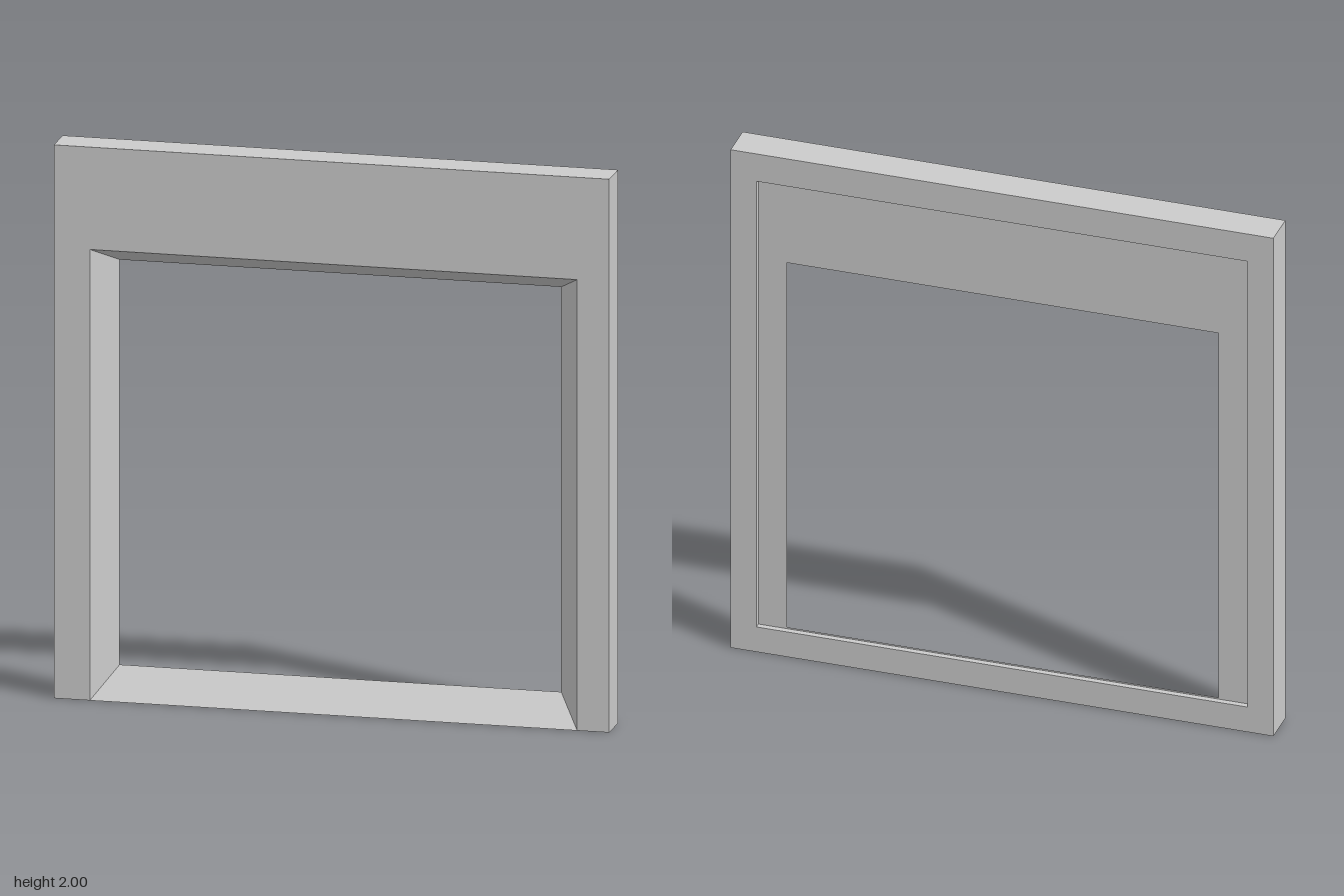
import * as THREE from 'three';

// rectangle corners, anticlockwise seen from the front
const ring = (x0, x1, y0, y1, z) => [[x0, y0, z], [x1, y0, z], [x1, y1, z], [x0, y1, z]];

// four flat faces joining two rectangles
function band(a, b) {
  const pos = [];
  for (let i = 0; i < 4; i++) {
    const j = (i + 1) % 4;
    for (const tri of [[a[i], a[j], b[j]], [a[i], b[j], b[i]]]) {
      const t = new THREE.Triangle(...tri.map((p) => new THREE.Vector3(...p)));
      if (t.getArea() > 1e-6) pos.push(...tri.flat());
    }
  }
  const geo = new THREE.BufferGeometry();
  geo.setAttribute('position', new THREE.Float32BufferAttribute(pos, 3));
  geo.computeVertexNormals();
  return geo;
}

export function createModel() {
  const group = new THREE.Group();
  group.name = 'windowFrame';
  const material = new THREE.MeshStandardMaterial({ color: 0xcccccc, flatShading: true });

  const D = 0.067; // half depth
  const floorZ = -D + 0.022; // floor of the shallow back recess
  const frontOuter = ring(-1, 1, 0, 2, D);
  const frontOpening = ring(-0.87, 0.885, 0, 1.63, D);
  const backOpening = ring(-0.79, 0.8, 0.106, 1.57, floorZ);
  const recessFloor = ring(-0.905, 0.905, 0.1, 1.89, floorZ);
  const recessMouth = ring(-0.905, 0.905, 0.1, 1.89, -D);
  const backOuter = ring(-1, 1, 0, 2, -D);

  const parts = [
    ['frontFace', frontOuter, frontOpening],
    ['splayedReveal', frontOpening, backOpening], // sloping sill, jambs and head
    ['recessFloor', backOpening, recessFloor],
    ['recessWalls', recessFloor, recessMouth],
    ['backFace', recessMouth, backOuter],
    ['outerEdges', backOuter, frontOuter],
  ];
  for (const [name, a, b] of parts) {
    const mesh = new THREE.Mesh(band(a, b), material);
    mesh.name = name;
    group.add(mesh);
  }
  return group;
}
